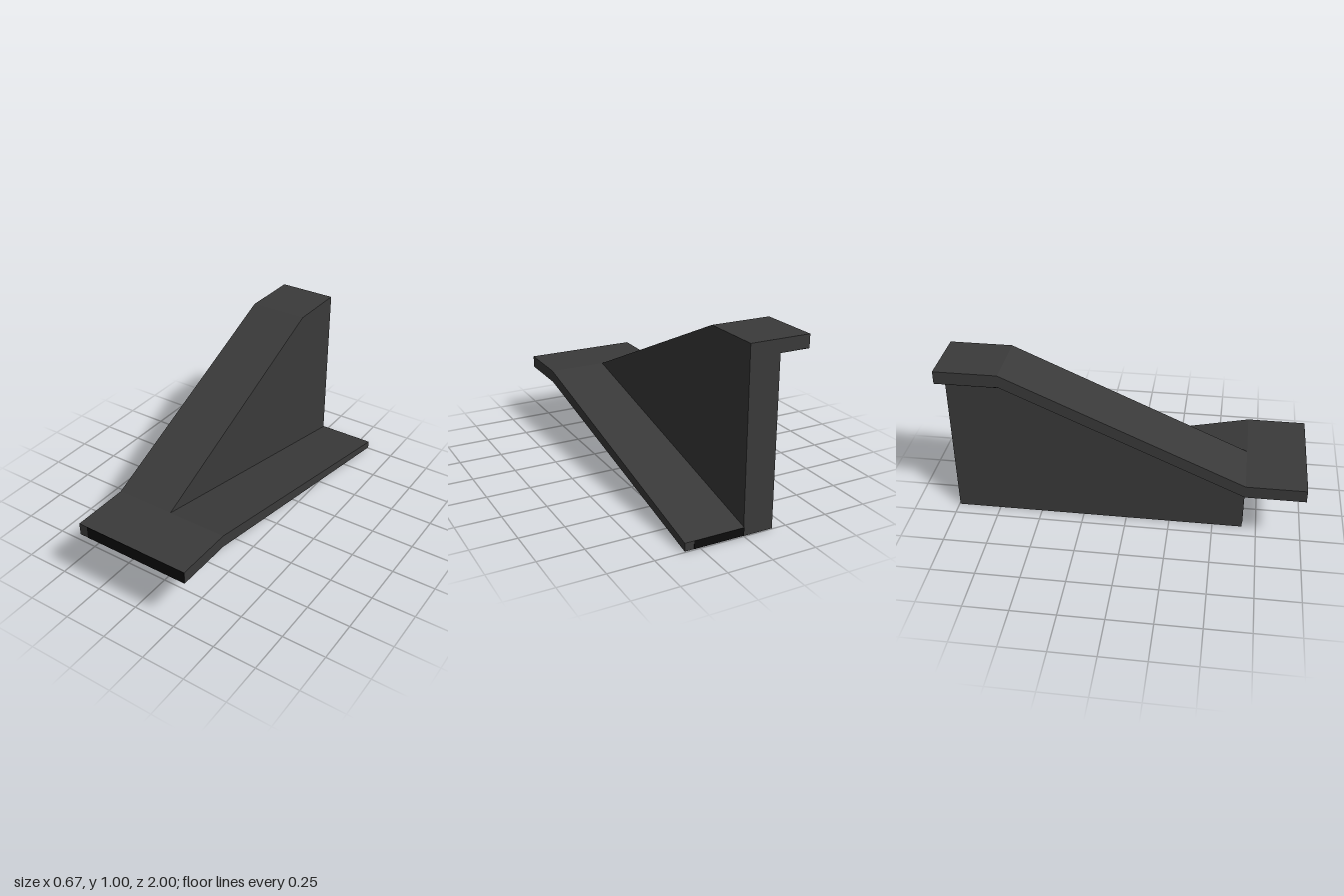
import * as THREE from 'three';

const grey = new THREE.MeshStandardMaterial({ color: 0x3a3a3a });
grey.name = 'charcoal grey';
const black = new THREE.MeshStandardMaterial({ color: 0x0c0c0c });
black.name = 'black';

// Side profile given as [z, y] points, extruded across x from x0 to x1
function profile(name, points, x0, x1) {
  const shape = new THREE.Shape(points.map(([z, y]) => new THREE.Vector2(z, y)));
  const geometry = new THREE.ExtrudeGeometry(shape, { depth: x1 - x0, bevelEnabled: false });
  geometry.rotateY(-Math.PI / 2).translate(x1, 0, 0);
  const mesh = new THREE.Mesh(geometry, grey);
  mesh.name = name;
  return mesh;
}

// Thin black plate spanning two opposite corners
function plate(name, a, b) {
  const size = a.map((v, i) => b[i] - v);
  const mesh = new THREE.Mesh(new THREE.BoxGeometry(...size), black);
  mesh.position.set(...a.map((v, i) => (v + b[i]) / 2));
  mesh.name = name;
  return mesh;
}

export function createModel() {
  const model = new THREE.Group();
  model.name = 'splitRamp';
  const w = 0.337, webX = -0.17, back = -0.995;
  const e = 0.002; // plate depth

  model.add(
    // Rising ramp with its half of the landing and the flat top
    profile('risingRamp', [
      [1, 0.34], [1, 0.41], [0.67, 0.41], [-0.65, 1], [back, 1],
      [back, 0.93], [-0.65, 0.93], [0.67, 0.34],
    ], -w, 0),
    // Falling ramp with the other half of the landing
    profile('fallingRamp', [
      [1, 0.34], [1, 0.41], [0.67, 0.41], [-1, 0.05], [-1, 0.005], [0.67, 0.34],
    ], 0, w),
    // Supporting wall under the rising ramp
    profile('supportWall', [
      [0.67, 0], [0.67, 0.34], [-0.65, 0.93], [back, 0.93], [back, 0],
    ], webX, 0),
    // Black end faces
    plate('landingFrontFace', [-0.285, 0.34, 1 - e], [w, 0.41, 1 + e / 2]),
    plate('wallFrontFace', [webX, 0.03, 0.67 - e], [0, 0.34, 0.67 + e]),
    plate('fallingRampEndFace', [0, 0.005, -1 - e / 2], [0.285, 0.05, -1 + e]),
    plate('topUnderside', [-w, 0.93 - e, back], [webX, 0.93 + e, -0.65]),
  );
  return model;
}
